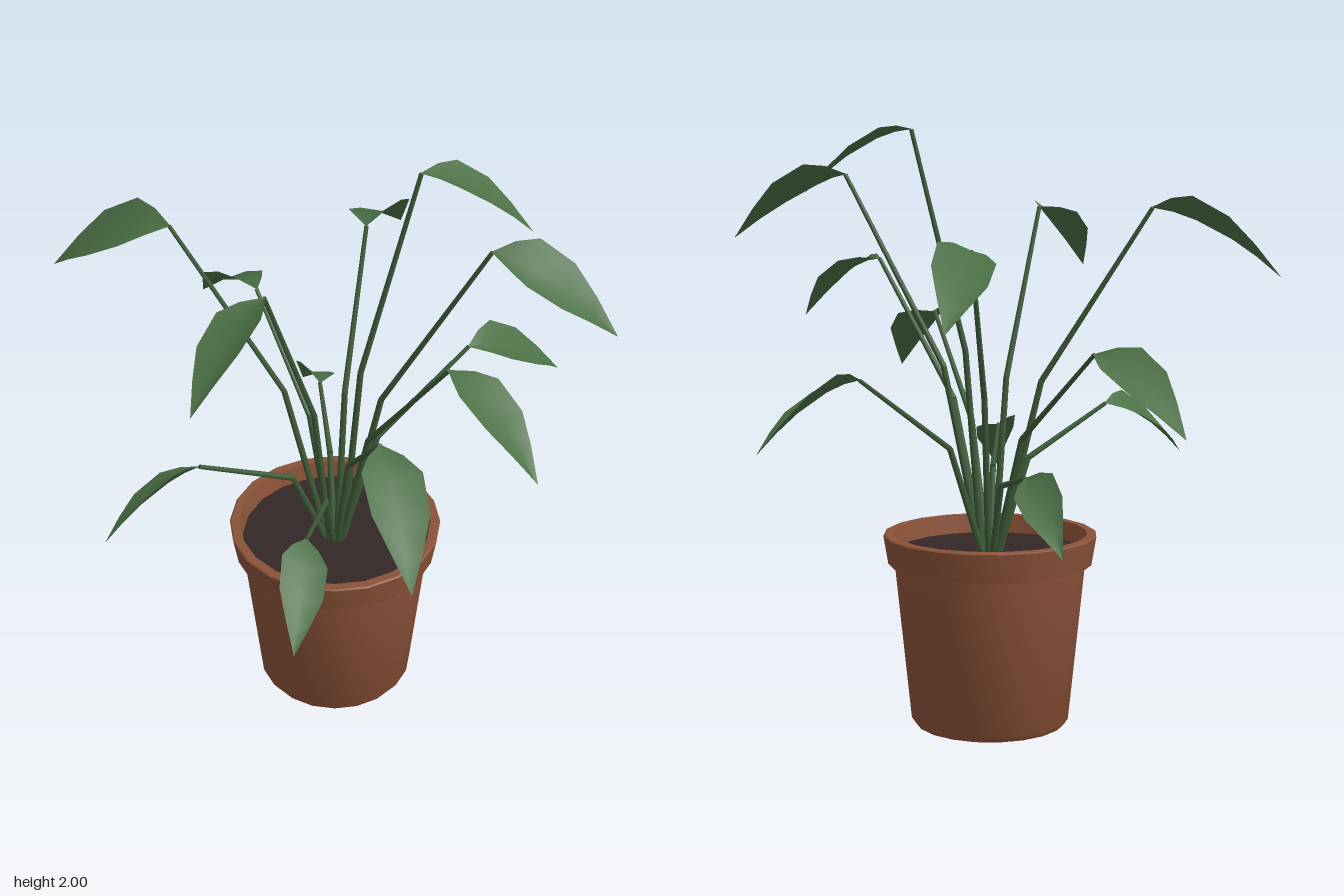
import * as THREE from 'three';
import { toCreasedNormals } from 'three/addons/utils/BufferGeometryUtils.js';

const mat = (name, color, side = THREE.FrontSide) => {
  const m = new THREE.MeshStandardMaterial({ color, side });
  m.name = name;
  return m;
};

const mesh = (name, geometry, material) => {
  const m = new THREE.Mesh(geometry, material);
  m.name = name;
  return m;
};

const SOIL_Y = 0.59;
const FOLD = 0.35; // upward fold of each leaf half
const UP = new THREE.Vector3(0, 1, 0);

// Leaf base x, y, z, tip x, y, z, and roll about the leaf's length
const LEAVES = [
  [0.22, 1.2, -0.43, 0.383, 0.99, -0.765, 0.42],
  [0.21, 1.99, -0.125, 0.487, 1.785, -0.335, 0.05],
  [0.5, 1.845, -0.076, 0.875, 1.63, -0.197, 0.4],
  [0.512, 1.555, 0.153, 0.875, 1.34, 0.22, -0.1],
  [0.412, 1.36, 0.36, 0.725, 1.13, 0.638, -0.15],
  [0.206, 0.956, 0.456, 0.366, 0.76, 0.735, -0.3],
  [0.005, 1.735, 0.383, 0.017, 1.52, 0.752, 0.22],
  [-0.213, 1.056, 0.468, -0.37, 0.86, 0.763, 0.55],
  [-0.486, 1.738, 0.238, -0.885, 1.515, 0.365, -0.46],
  [-0.48, 1.294, -0.174, -0.855, 1.07, -0.325, 0.3],
  [-0.302, 0.908, -0.293, -0.538, 0.713, -0.5, 0.5],
  [-0.115, 1.61, -0.303, -0.26, 1.384, -0.715, -0.35],
];

// Straight tapered rod between two points
function rod(a, b, r0, r1) {
  const dir = b.clone().sub(a);
  const g = new THREE.CylinderGeometry(r1, r0, dir.length(), 6);
  g.applyQuaternion(new THREE.Quaternion().setFromUnitVectors(UP, dir.clone().normalize()));
  const mid = a.clone().add(b).multiplyScalar(0.5);
  return g.translate(mid.x, mid.y, mid.z);
}

// Drooping leaf folded along its midrib: rows of left edge, midrib, right edge
function leafGeometry(base, tip, roll) {
  const out = new THREE.Vector3(tip.x - base.x, 0, tip.z - base.z);
  const right = out.clone().normalize().cross(UP);
  const half = 0.215 * base.distanceTo(tip);
  const rows = [[0, 0.04], [0.15, 0.55], [0.32, 0.97], [0.6, 0.92], [0.8, 0.5], [1, 0]];
  const pos = [], index = [];
  rows.forEach(([t, w], i) => {
    const mid = base.clone().addScaledVector(out, t);
    mid.y += (tip.y - base.y) * t ** 1.7;
    for (const s of [-1, 0, 1]) {
      const a = FOLD - s * roll;
      const p = mid.clone().addScaledVector(right, s * w * half * Math.cos(a));
      if (s) p.y += w * half * Math.sin(a);
      pos.push(p.x, p.y, p.z);
    }
    if (i === rows.length - 1) return;
    for (let c = 0; c < 2; c++) {
      const k = i * 3 + c;
      index.push(k, k + 1, k + 3, k + 1, k + 4, k + 3);
    }
  });
  const g = new THREE.BufferGeometry();
  g.setAttribute('position', new THREE.Float32BufferAttribute(pos, 3));
  g.setIndex(index);
  g.computeVertexNormals();
  return g;
}

export function createModel() {
  const clay = mat('terracotta', 0x8b5238);
  const earth = mat('soil', 0x332626);
  const stemGreen = mat('stem green', 0x3d5c38);
  const leafGreen = mat('leaf green', 0x4c7046, THREE.DoubleSide);

  const model = new THREE.Group();
  model.name = 'pottedPlant';
  const cx = 0.006, cz = 0.036;

  // Pot with flared rim and hollow top
  const profile = [
    [0, 0], [0.255, 0], [0.268, 0.02], [0.322, 0.548], [0.344, 0.552],
    [0.36, 0.648], [0.355, 0.652], [0.327, 0.652], [0.312, 0.56],
  ].map(([x, y]) => new THREE.Vector2(x, y));
  const pot = mesh('pot', toCreasedNormals(new THREE.LatheGeometry(profile, 20), 0.6), clay);
  pot.position.set(cx, 0, cz);
  model.add(pot);

  const soil = mesh('soil', new THREE.CircleGeometry(0.318, 20).rotateX(-Math.PI / 2), earth);
  soil.position.set(cx, SOIL_Y, cz);
  model.add(soil);

  // Each stem rises steeply, kinks, then leans out to its leaf
  for (const [bx, by, bz, tx, ty, tz, roll] of LEAVES) {
    const base = new THREE.Vector3(bx, by, bz);
    const tip = new THREE.Vector3(tx, ty, tz);
    const out = new THREE.Vector3(bx - cx, 0, bz - cz);
    const root = new THREE.Vector3(cx, SOIL_Y - 0.02, cz)
      .addScaledVector(out.clone().normalize(), 0.028);
    const kink = new THREE.Vector3(cx, 0.71 + 0.4 * (by - 0.6), cz).addScaledVector(out, 0.32);

    const shoot = new THREE.Group();
    shoot.name = 'shoot';
    shoot.add(
      mesh('lowerStem', rod(root, kink, 0.012, 0.01), stemGreen),
      mesh('upperStem', rod(kink, base, 0.01, 0.007), stemGreen),
      mesh('leaf', leafGeometry(base, tip, roll), leafGreen),
    );
    model.add(shoot);
  }
  return model;
}
